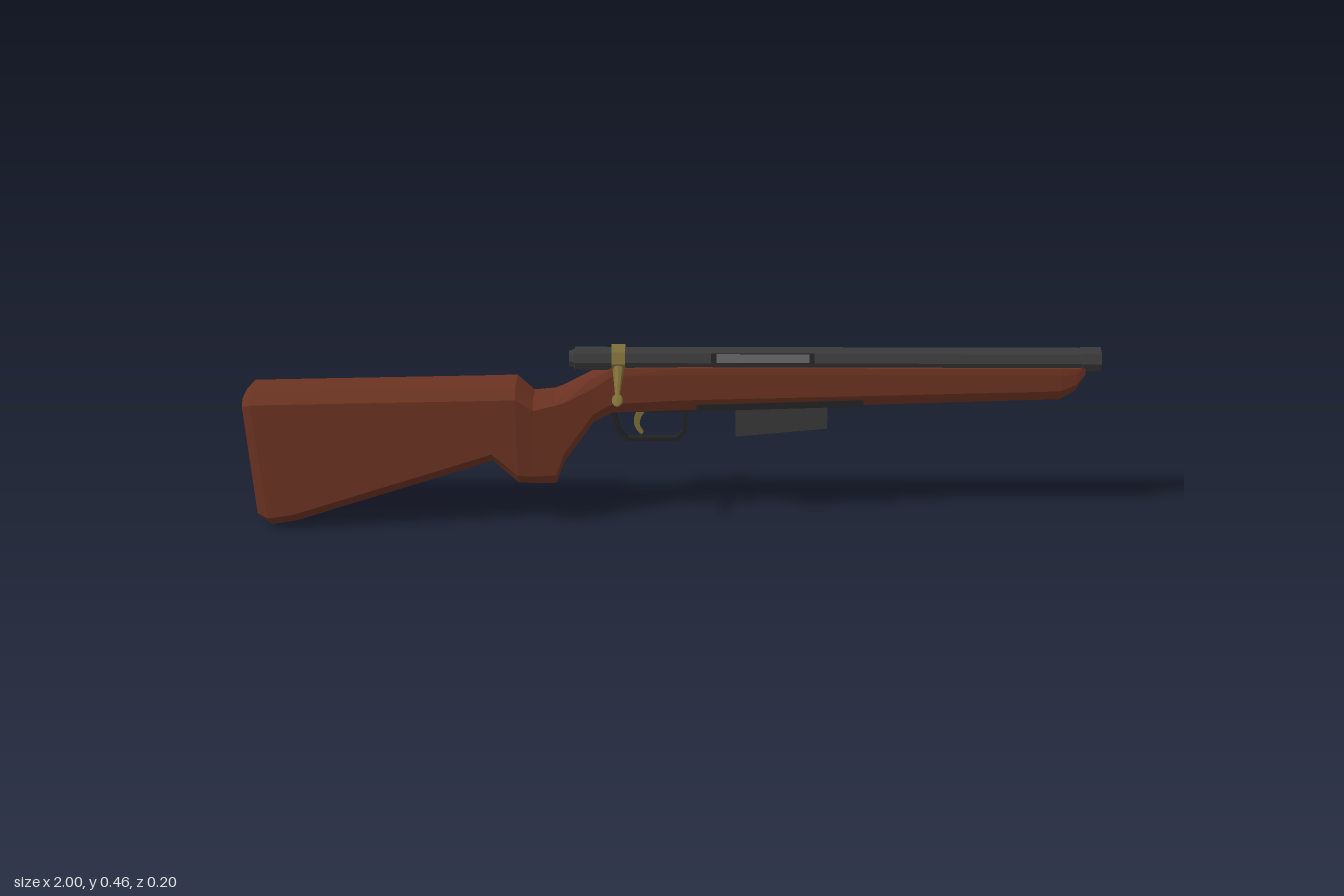
import * as THREE from 'three';

const Z = -0.043;      // centre plane of the body
const BORE = 0.427;    // height of the barrel axis

const mat = (name, color) => {
  const m = new THREE.MeshStandardMaterial({ color });
  m.name = name;
  return m;
};

// Faceted copy of a geometry
function facet(geo) {
  const g = geo.index ? geo.toNonIndexed() : geo;
  g.computeVertexNormals();
  return g;
}

// Eight-sided loft along x; rows: [x, bottom, lowShoulder, highShoulder, top, halfWidth, topHalf, bottomHalf, lean]
function loft(rows) {
  const rings = rows.map(([x, b, lo, hi, t, w, wt, wb, lean = 0]) =>
    [[-wt, t], [wt, t], [w, hi], [w, lo], [wb, b], [-wb, b], [-w, lo], [-w, hi]]
      .map(([z, y]) => [x + lean * (t - y), y, z]));
  const pos = [];
  const tri = (...p) => p.forEach(v => pos.push(...v));
  for (let i = 0; i < rings.length - 1; i++) {
    const A = rings[i], B = rings[i + 1];
    for (let j = 0; j < 8; j++) {
      const k = (j + 1) % 8;
      tri(A[j], A[k], B[j]);
      tri(A[k], B[k], B[j]);
    }
  }
  const first = rings[0], last = rings[rings.length - 1];
  for (let j = 1; j < 7; j++) {
    tri(last[0], last[j], last[j + 1]);
    tri(first[0], first[j + 1], first[j]);
  }
  const g = new THREE.BufferGeometry();
  g.setAttribute('position', new THREE.Float32BufferAttribute(pos, 3));
  g.computeVertexNormals();
  return g;
}

// Side outline extruded evenly about z = 0
function slab(shape, width) {
  const g = new THREE.ExtrudeGeometry(shape, { depth: width, bevelEnabled: false, curveSegments: 5 });
  g.translate(0, 0, -width / 2);
  return g;
}

const outline = pts => new THREE.Shape(pts.map(p => new THREE.Vector2(...p)));

// Eight-sided turned part, profile [radius, x], axis along x
function turned(profile) {
  const g = new THREE.LatheGeometry(profile.map(p => new THREE.Vector2(...p)), 8);
  g.rotateZ(-Math.PI / 2);
  return facet(g);
}

export function createModel() {
  const wood = mat('wood', 0x6a3221);
  const steel = mat('dark steel', 0x383838);
  const black = mat('black metal', 0x222222);
  const grey = mat('port grey', 0x5e5e5e);
  const brass = mat('brass', 0x7a6b36);

  const root = new THREE.Group();
  root.name = 'rifle';
  const body = new THREE.Group();
  body.name = 'body';
  body.position.z = Z;
  root.add(body);
  const add = (name, geo, material, parent = body, x = 0, y = 0, z = 0) => {
    const m = new THREE.Mesh(geo, material);
    m.name = name;
    m.position.set(x, y, z);
    parent.add(m);
    return m;
  };

  // Stock: butt, grip, wrist and fore-end in one piece
  add('stock', loft([
    [-1.0, 0.02, 0.045, 0.32, 0.336, 0.048, 0.03, 0.018, 0.05],
    [-0.98, 0.0, 0.035, 0.33, 0.355, 0.058, 0.037, 0.018, 0.06],
    [-0.9, 0.01, 0.045, 0.332, 0.357, 0.058, 0.037, 0.018],
    [-0.42, 0.172, 0.205, 0.343, 0.368, 0.058, 0.037, 0.02],
    [-0.36, 0.122, 0.15, 0.345, 0.37, 0.058, 0.037, 0.035],
    [-0.32, 0.12, 0.145, 0.315, 0.335, 0.052, 0.03, 0.035],
    [-0.27, 0.12, 0.145, 0.325, 0.342, 0.045, 0.025, 0.033],
    [-0.25, 0.175, 0.2, 0.33, 0.35, 0.043, 0.025, 0.031],
    [-0.18, 0.275, 0.3, 0.365, 0.388, 0.037, 0.026, 0.025],
    [-0.135, 0.298, 0.325, 0.395, 0.412, 0.035, 0.029, 0.021],
    [0.03, 0.304, 0.335, 0.4, 0.415, 0.034, 0.031, 0.02],
    [0.91, 0.334, 0.36, 0.4, 0.415, 0.034, 0.031, 0.02],
    [0.945, 0.355, 0.375, 0.402, 0.415, 0.031, 0.029, 0.018],
    [0.965, 0.392, 0.398, 0.406, 0.415, 0.025, 0.025, 0.016],
  ]), wood);

  // Barrel and receiver with an open bore
  add('barrel', turned([
    [0, -0.235], [0.019, -0.235], [0.023, -0.223], [0.029, -0.221], [0.029, 0.955],
    [0.031, 0.957], [0.031, 1.0], [0.023, 1.0], [0.023, 0.3], [0, 0.3],
  ]), steel, body, 0, BORE);

  // Ejection port on the upper facet of the +z side
  const port = new THREE.Group();
  port.name = 'ejectionPort';
  port.position.set(0.215, BORE, 0);
  port.rotation.x = -Math.PI / 8;
  body.add(port);
  add('portFrame', new THREE.BoxGeometry(0.24, 0.024, 0.004), black, port, 0, 0, 0.0265);
  add('portCover', new THREE.BoxGeometry(0.215, 0.02, 0.004), grey, port, 0, 0, 0.0278);

  // Bolt collar
  add('boltCollar', turned([
    [0.028, -0.016], [0.036, -0.016], [0.036, 0.016], [0.028, 0.016],
  ]), brass, body, -0.12, BORE);

  // Bolt handle sloping down towards +z
  const handle = new THREE.Group();
  handle.name = 'boltHandle';
  handle.position.set(-0.12, 0.414, 0.022);
  handle.rotation.x = Math.PI / 2 + 0.38;
  body.add(handle);
  add('handleArm', facet(new THREE.CylinderGeometry(0.005, 0.014, 0.1, 8)), brass, handle, 0, 0.05, 0);
  const knob = facet(new THREE.SphereGeometry(1, 8, 6).scale(0.013, 0.021, 0.006));
  add('handleKnob', knob, brass, handle, 0, 0.108, 0);

  // Magazine and its floor plate
  add('magazine', slab(outline([[0.155, 0.235], [0.37, 0.256], [0.37, 0.325], [0.155, 0.325]]), 0.036), steel);
  const plate = add('floorPlate', new THREE.BoxGeometry(0.39, 0.016, 0.06), black, body, 0.257, 0.32, 0);
  plate.rotation.z = 0.034;

  // Trigger guard loop
  const guard = outline([
    [-0.145, 0.31], [-0.128, 0.245], [-0.105, 0.218], [0.018, 0.218], [0.038, 0.24], [0.044, 0.31],
  ]);
  guard.holes.push(new THREE.Path([
    [-0.13, 0.298], [0.034, 0.3], [0.029, 0.244], [0.014, 0.227], [-0.1, 0.227], [-0.118, 0.248],
  ].map(p => new THREE.Vector2(...p))));
  add('triggerGuard', slab(guard, 0.013), black);
  add('guardBase', new THREE.BoxGeometry(0.2, 0.01, 0.034), black, body, -0.045, 0.303, 0);

  // Curved trigger
  const trigger = new THREE.Shape();
  trigger.moveTo(-0.065, 0.31);
  trigger.quadraticCurveTo(-0.105, 0.265, -0.068, 0.234);
  trigger.lineTo(-0.063, 0.24);
  trigger.quadraticCurveTo(-0.088, 0.268, -0.045, 0.31);
  add('trigger', slab(trigger, 0.01), brass);

  return root;
}
